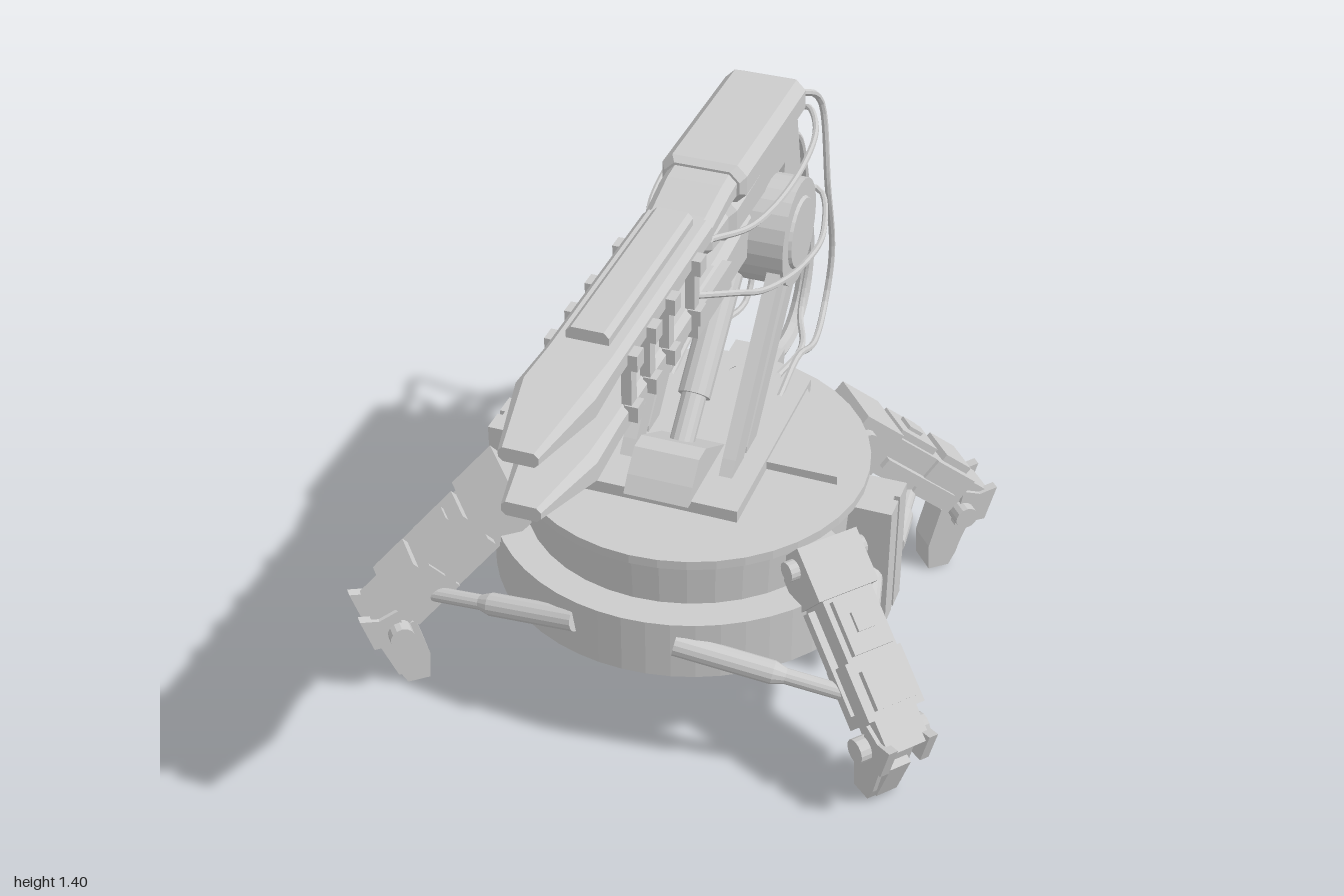
import * as THREE from 'three';

const grey = new THREE.MeshStandardMaterial({ color: 0xcccccc, flatShading: true, side: THREE.DoubleSide });
const V = (x, y, z) => new THREE.Vector3(x, y, z);

function add(parent, name, geo) {
  const m = new THREE.Mesh(geo, grey);
  m.name = name;
  parent.add(m);
  return m;
}

// box given by its min/max on each axis
function box(parent, name, x0, x1, y0, y1, z0, z1) {
  const m = add(parent, name, new THREE.BoxGeometry(x1 - x0, y1 - y0, z1 - z0));
  m.position.set((x0 + x1) / 2, (y0 + y1) / 2, (z0 + z1) / 2);
  return m;
}

// cylinder between two points
function rod(parent, name, a, b, r, r2 = r, sides = 14) {
  const m = add(parent, name, new THREE.CylinderGeometry(r2, r, a.distanceTo(b), sides));
  m.position.copy(a).lerp(b, 0.5);
  m.quaternion.setFromUnitVectors(V(0, 1, 0), b.clone().sub(a).normalize());
  return m;
}

// flat outline extruded along local z, centred
function plate(pts, depth, hole) {
  const vectors = list => list.map(p => new THREE.Vector2(p[0], p[1]));
  const shape = new THREE.Shape(vectors(pts));
  if (hole) shape.holes.push(new THREE.Path(vectors(hole)));
  return new THREE.ExtrudeGeometry(shape, { depth, bevelEnabled: false }).translate(0, 0, -depth / 2);
}

// (z, y) outline extruded across x
function side(parent, name, pts, width, x = 0) {
  const m = add(parent, name, plate(pts, width).rotateY(-Math.PI / 2));
  m.position.x = x;
  return m;
}

// chamfered box sections [z, halfWidth, yLow, yHigh, chamfer], ordered back to front
function loft(parent, name, sections) {
  const pos = [], idx = [], n = 8;
  for (const [z, w, lo, hi, c] of sections)
    for (const [x, y] of [[w, lo + c], [w, hi - c], [w - c, hi], [c - w, hi], [-w, hi - c], [-w, lo + c], [c - w, lo], [w - c, lo]])
      pos.push(x, y, z);
  const last = (sections.length - 1) * n;
  for (let i = 0; i < last; i += n)
    for (let j = 0; j < n; j++) {
      const a = i + j, b = i + (j + 1) % n;
      idx.push(a, b, a + n, b, b + n, a + n);
    }
  for (let j = 1; j < n - 1; j++) idx.push(0, j + 1, j, last, last + j, last + j + 1);
  const g = new THREE.BufferGeometry();
  g.setAttribute('position', new THREE.Float32BufferAttribute(pos, 3));
  g.setIndex(idx);
  g.computeVertexNormals();
  return add(parent, name, g);
}

function cable(parent, name, pts, r) {
  const curve = new THREE.CatmullRomCurve3(pts.map(p => V(...p)));
  return add(parent, name, new THREE.TubeGeometry(curve, 40, r, 7));
}

function hydraulic(parent, a, b) {
  const g = new THREE.Group();
  g.name = 'stabiliserHydraulic';
  const mid = a.clone().lerp(b, 0.55);
  rod(g, 'sleeve', a, mid, 0.03);
  rod(g, 'collar', mid, a.clone().lerp(b, 0.62), 0.03, 0.02);
  rod(g, 'piston', mid, b, 0.02);
  parent.add(g);
}

// grooved block whose outer face points along local +x
function edgeBlock(parent, name) {
  const g = new THREE.Group();
  g.name = name;
  for (const s of [-1, 1]) box(g, 'blockHalf', 0.42, 0.545, 0.22, 0.575, s * 0.039 - 0.031, s * 0.039 + 0.031);
  box(g, 'blockCore', 0.42, 0.53, 0.22, 0.575, -0.01, 0.01);
  parent.add(g);
  return g;
}

// leg reaching out along local +x
function leg() {
  const g = new THREE.Group();
  const thigh = new THREE.Group();
  thigh.name = 'slopedLeg';
  thigh.position.set(0.06, 0.54, 0);
  thigh.rotation.z = -0.71;
  g.add(thigh);
  box(thigh, 'hipBlock', -0.02, 0.12, -0.065, 0.075, -0.085, 0.085);
  box(thigh, 'upperLeg', 0.11, 0.3, -0.06, 0.06, -0.07, 0.07);
  box(thigh, 'armourPlate', 0.13, 0.27, 0.055, 0.08, -0.055, 0.055);
  box(thigh, 'plateRib', 0.17, 0.22, 0.075, 0.09, -0.025, 0.025);
  box(thigh, 'lowerLeg', 0.28, 0.43, -0.055, 0.06, -0.08, 0.08);
  box(thigh, 'lowerPlate', 0.31, 0.41, 0.055, 0.08, -0.055, 0.055);
  box(thigh, 'ankleBlock', 0.42, 0.52, -0.045, 0.05, -0.06, 0.06);
  for (const s of [-1, 1]) {
    rod(thigh, 'hipBolt', V(0.02, 0.02, s * 0.08), V(0.02, 0.02, s * 0.11), 0.026);
    box(thigh, 'sideRail', 0.13, 0.4, -0.03, 0.0, s * 0.078 - 0.012, s * 0.078 + 0.012);
    const guard = add(g, 'ankleGuard', plate([[0.38, 0.16], [0.47, 0.16], [0.5, 0.26], [0.45, 0.25], [0.4, 0.27]], 0.025));
    guard.position.z = s * 0.058;
  }
  rod(g, 'anklePin', V(0.4, 0.2, -0.1), V(0.4, 0.2, 0.1), 0.032);
  box(g, 'hipMount', -0.1, 0.08, 0.44, 0.56, -0.06, 0.06);
  add(g, 'foot', plate([[0.325, 0], [0.385, 0], [0.405, 0.04], [0.445, 0.19], [0.35, 0.2], [0.32, 0.08]], 0.085));
  add(g, 'footPad', plate([[0.385, 0.02], [0.405, 0.02], [0.455, 0.15], [0.42, 0.17]], 0.06));
  return g;
}

function buildBase(root) {
  const g = new THREE.Group();
  g.name = 'base';
  root.add(g);
  // upper turntable drum
  const profile = [[0, .42], [.43, .42], [.44, .57], [.455, .575], [.455, .6], [0, .605]];
  add(g, 'drum', new THREE.LatheGeometry(profile.map(p => new THREE.Vector2(...p)), 40)).position.z = -0.05;
  // lower skirt: round at the front, straight at the sides, tapered at the back
  const outline = [[-0.26, 0.5], [-0.485, 0.18]];
  for (let i = -10; i <= 10; i++) {
    const a = i * 0.12;
    outline.push([0.515 * Math.sin(a), 0.05 - 0.515 * Math.cos(a)]);
  }
  outline.push([0.485, 0.18], [0.26, 0.5]);
  const inner = outline.map(([x, y]) => [x * 0.92, y * 0.92]);
  add(g, 'skirt', plate(outline, 0.165, inner).rotateX(-Math.PI / 2)).position.y = 0.3675;
  add(g, 'skirtTop', plate(outline, 0.02).rotateX(-Math.PI / 2)).position.y = 0.44;
  box(g, 'crossBeam', -0.48, 0.48, 0.225, 0.3, -0.13, 0.01);
  box(g, 'rearBeam', -0.1, 0.1, 0.22, 0.3, -0.58, -0.12);
  for (const x of [-0.24, 0, 0.24]) box(g, 'underRib', x - 0.02, x + 0.02, 0.285, 0.43, -0.42, 0.33);
  box(g, 'deck', -0.205, 0.205, 0.6, 0.635, -0.4, 0.2);
  const rear = edgeBlock(g, 'rearBlock');
  rear.rotation.y = Math.PI / 2;
  rear.position.z = -0.05;
  for (const s of [-1, 1]) {
    const block = edgeBlock(g, 'sideBlock');
    block.rotation.y = s > 0 ? 0 : Math.PI;
    block.position.z = -0.06;
    // triangular deck gusset
    const t = add(g, 'deckGusset', plate([[s * 0.2, 0.03], [s * 0.39, 0.03], [s * 0.2, 0.38]], 0.03).rotateX(-Math.PI / 2));
    t.position.y = 0.61;
    // legs and their hydraulics
    for (const [name, x, z, f] of [['frontLeg', 0.36, 0.13, 1], ['rearLeg', 0.26, -0.33, -1]]) {
      const l = leg();
      const a = 0.7 * f;
      l.name = name;
      l.position.set(s * x, 0, z);
      l.rotation.y = s > 0 ? -a : Math.PI + a;
      g.add(l);
    }
    hydraulic(g, V(s * 0.13, 0.385, 0.44), V(s * 0.57, 0.3, 0.38));
    hydraulic(g, V(s * 0.5, 0.37, 0), V(s * 0.56, 0.3, 0.27));
    hydraulic(g, V(s * 0.1, 0.385, -0.53), V(s * 0.46, 0.3, -0.53));
    hydraulic(g, V(s * 0.52, 0.37, -0.13), V(s * 0.48, 0.3, -0.44));
  }
}

function buildArm(root) {
  const g = new THREE.Group();
  g.name = 'liftArm';
  root.add(g);
  for (const s of [-1, 1]) {
    side(g, 'armRail', [[0.09, 0.62], [0.05, 0.67], [-0.34, 1.09], [-0.38, 1.05], [0.0, 0.62]], 0.035, s * 0.132);
    side(g, 'armRail', [[-0.03, 0.62], [-0.04, 0.65], [-0.42, 1.03], [-0.46, 0.99], [-0.1, 0.62]], 0.035, s * 0.132);
    rod(g, 'elbowRing', V(s * 0.125, 1.075, -0.405), V(s * 0.158, 1.075, -0.405), 0.14, 0.14, 24);
    rod(g, 'elbowCap', V(s * 0.15, 1.075, -0.405), V(s * 0.166, 1.075, -0.405), 0.1, 0.09, 24);
  }
  side(g, 'pivotKnuckle', [[0.22, 0.63], [0.19, 0.67], [0.14, 0.72], [0.09, 0.72], [-0.06, 0.63]], 0.17);
  rod(g, 'liftSleeve', V(0, 0.67, 0.04), V(0, 0.88, -0.19), 0.032);
  rod(g, 'liftPiston', V(0, 0.76, -0.06), V(0, 1.0, -0.33), 0.042);
  rod(g, 'elbowHub', V(-0.125, 1.075, -0.405), V(0.125, 1.075, -0.405), 0.14, 0.14, 24);
}

function buildHead(root) {
  const g = new THREE.Group();
  g.name = 'railHead';
  root.add(g);
  loft(g, 'topHousing', [[-0.61, 0.095, 1.31, 1.39, 0.025], [-0.59, 0.107, 1.3, 1.4, 0.025], [-0.13, 0.107, 1.3, 1.4, 0.025], [-0.11, 0.095, 1.31, 1.39, 0.025]]);
  loft(g, 'upperNeck', [[-0.13, 0.088, 1.31, 1.385, 0.02], [-0.06, 0.088, 1.31, 1.38, 0.02], [0.05, 0.085, 1.29, 1.355, 0.02], [0.12, 0.085, 1.29, 1.355, 0.02]]);
  loft(g, 'upperRail', [[0.06, 0.086, 1.29, 1.355, 0.015], [0.66, 0.086, 1.29, 1.355, 0.015], [0.8, 0.09, 1.28, 1.365, 0.02], [1, 0.045, 1.295, 1.33, 0.01]]);
  loft(g, 'upperRailCap', [[0.09, 0.05, 1.34, 1.385, 0.012], [0.62, 0.05, 1.34, 1.385, 0.012]]);
  loft(g, 'lowerRail', [[0.0, 0.086, 1.125, 1.195, 0.015], [0.66, 0.086, 1.125, 1.195, 0.015], [0.8, 0.09, 1.115, 1.2, 0.02], [1, 0.045, 1.155, 1.19, 0.01]]);
  loft(g, 'lowerRailCap', [[0.2, 0.05, 1.095, 1.135, 0.012], [0.62, 0.05, 1.095, 1.135, 0.012]]);
  loft(g, 'lowerBody', [[-0.42, 0.065, 1.02, 1.18, 0.02], [-0.28, 0.065, 1.04, 1.18, 0.02], [-0.05, 0.075, 1.06, 1.18, 0.02], [0.12, 0.075, 1.09, 1.18, 0.02], [0.22, 0.075, 1.1, 1.18, 0.02]]);
  loft(g, 'motor', [[-0.56, 0.08, 1.17, 1.31, 0.03], [-0.14, 0.08, 1.18, 1.3, 0.03], [-0.12, 0.065, 1.19, 1.29, 0.03], [-0.02, 0.06, 1.2, 1.28, 0.025], [0, 0.04, 1.21, 1.27, 0.02]]);
  // rear bracket behind the elbow
  side(g, 'rearBracket', [[-0.53, 1.3], [-0.61, 1.3], [-0.68, 1.03], [-0.61, 0.95], [-0.53, 0.96], [-0.5, 1.05]], 0.16);
  side(g, 'rearBracketFoot', [[-0.53, 0.97], [-0.52, 0.95], [-0.6, 0.93], [-0.64, 0.97]], 0.19);
  box(g, 'rearPanel', -0.05, 0.05, 1.19, 1.28, -0.66, -0.6);
  box(g, 'innerSpine', -0.03, 0.03, 1.18, 1.3, 0, 0.14);
  for (const s of [-1, 1]) {
    // clamps tying the two rails together
    for (const z of [0.585, 0.47, 0.35, 0.18]) {
      box(g, 'railClamp', s * 0.08 - 0.012, s * 0.08 + 0.012, 1.19, 1.3, z - 0.016, z + 0.016);
      for (const y of [1.175, 1.31])
        box(g, 'clampBlock', s * 0.092 - 0.016, s * 0.092 + 0.016, y - 0.02, y + 0.02, z - 0.02, z + 0.02);
    }
    box(g, 'bodySidePlate', s * 0.09 - 0.012, s * 0.09 + 0.012, 1.12, 1.19, -0.04, 0.2);
  }
}

function buildCables(root) {
  const g = new THREE.Group();
  g.name = 'cables';
  root.add(g);
  cable(g, 'mainHose', [[.01, 1.12, -.63], [.01, 1.13, -.75], [.01, 1.05, -.85], [.01, .85, -.925], [.01, .67, -.975], [.01, .53, -.94], [.01, .46, -.83], [.01, .5, -.62], [.01, .63, -.36]], 0.023);
  for (const [s, x] of [[-1, .2], [1, .12]]) {
    cable(g, 'powerCable', [[s * .05, 1.34, -.6], [s * .08, 1.32, -.68], [s * x * .8, 1.25, -.77], [s * x, 1.0, -.78], [s * x, .74, -.85], [s * x, .61, -.8], [s * .15, .61, -.6], [s * .15, .66, -.45], [s * .15, .63, -.3]], 0.009);
    cable(g, 'signalCable', [[s * .03, 1.2, -.64], [s * .05, 1.17, -.72], [s * x * .5, 1.0, -.78], [s * x * .5, .75, -.84], [s * x * .5, .59, -.77], [s * .13, .62, -.55], [s * .12, .64, -.38]], 0.009);
    cable(g, 'sideCable', [[s * .08, 1.21, .16], [s * .14, 1.17, .06], [s * .17, 1.1, -.08], [s * .19, 1.02, -.35], [s * .18, 1.0, -.55], [s * .12, 1.03, -.7], [s * .05, 1.05, -.66]], 0.008);
    cable(g, 'upperCable', [[s * .07, 1.28, .02], [s * .13, 1.26, -.1], [s * .16, 1.26, -.35], [s * .14, 1.28, -.58], [s * .08, 1.28, -.68], [s * .03, 1.25, -.65]], 0.008);
  }
  cable(g, 'deckCable', [[-.19, .62, .0], [-.19, .7, -.08], [-.16, .84, -.22], [-.15, .95, -.33]], 0.01);
}

export function createModel() {
  const root = new THREE.Group();
  root.name = 'leggedTurret';
  buildBase(root);
  buildArm(root);
  buildHead(root);
  buildCables(root);
  return root;
}
